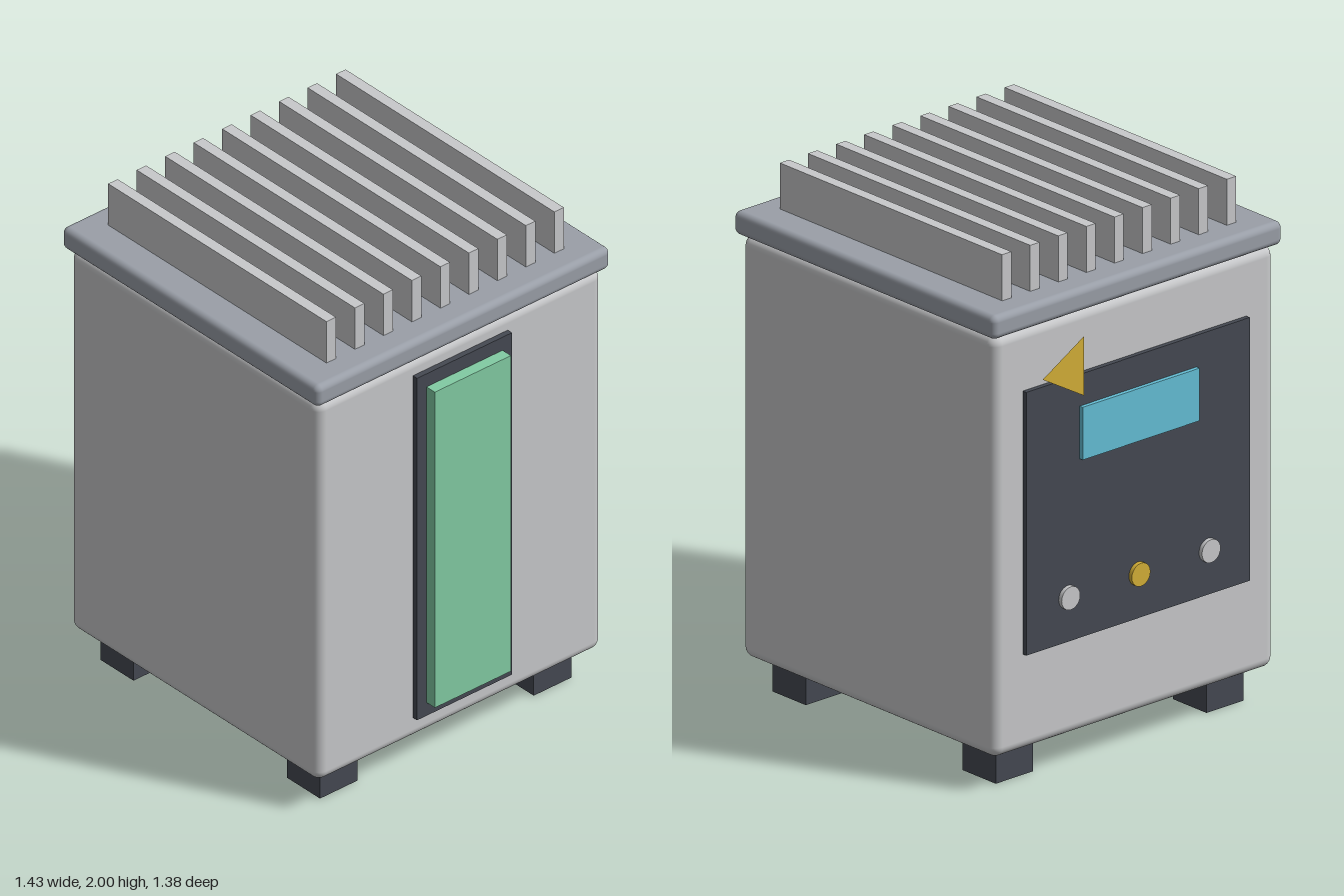
import * as THREE from 'three';
import { RoundedBoxGeometry } from 'three/addons/geometries/RoundedBoxGeometry.js';

const material = (name, color) => {
  const m = new THREE.MeshStandardMaterial({ color });
  m.name = name;
  return m;
};

export function createModel() {
  const casing = material('light grey', 0xc8c9cb);
  const lidGrey = material('blue grey', 0x9a9fa8);
  const dark = material('charcoal', 0x454952);
  const green = material('green glass', 0x82cba3);
  const cyan = material('cyan screen', 0x65bfd6);
  const gold = material('gold', 0xd4af37);

  const model = new THREE.Group();
  model.name = 'machine';
  const cx = -0.019; // body axis, offset because the window stands prouder than the panel

  const add = (name, geometry, mat, x, y, z) => {
    const mesh = new THREE.Mesh(geometry, mat);
    mesh.name = name;
    mesh.position.set(x, y, z);
    model.add(mesh);
    return mesh;
  };
  // Box given by its lower and upper corners
  const box = (name, mat, [x0, y0, z0], [x1, y1, z1]) =>
    add(name, new THREE.BoxGeometry(x1 - x0, y1 - y0, z1 - z0), mat,
      (x0 + x1) / 2, (y0 + y1) / 2, (z0 + z1) / 2);

  // Rounded body and lid
  add('body', new RoundedBoxGeometry(1.333, 1.603, 1.333, 5, 0.04), casing, cx, 0.9335, 0);
  add('lid', new RoundedBoxGeometry(1.375, 0.09, 1.375, 4, 0.025), lidGrey, cx, 1.78, 0);

  // Cooling fins running across the lid
  for (let i = -4; i <= 4; i++) {
    add('coolingFin', new THREE.BoxGeometry(1.17, 0.18, 0.044), casing, cx, 1.91, i * 0.1333);
  }

  // Feet
  for (const sx of [-1, 1]) {
    for (const sz of [-1, 1]) {
      add('foot', new THREE.BoxGeometry(0.176, 0.133, 0.176), dark, cx + sx * 0.5, 0.0665, sz * 0.5);
    }
  }

  // Tall window on the left side
  box('windowFrame', dark, [0.63, 0.222, -0.222], [0.67, 1.667, 0.222]);
  box('windowPane', green, [0.66, 0.278, -0.178], [0.715, 1.612, 0.178]);

  // Control panel on the right side
  box('controlPanel', dark, [-0.704, 0.5, -0.53], [-0.67, 1.5, 0.53]);
  box('screen', cyan, [-0.72, 1.18, -0.277], [-0.7, 1.38, 0.277]);

  // Row of round buttons
  for (const i of [-1, 0, 1]) {
    const button = add('button', new THREE.CylinderGeometry(0.044, 0.044, 0.022, 24),
      i === 0 ? gold : casing, -0.709, 0.67, i * 0.333);
    button.rotation.z = Math.PI / 2;
  }

  // Three-sided warning marker: shallow pyramid, base outwards, one corner to the back
  const markerGeometry = new THREE.ConeGeometry(0.13, 0.022, 3).toNonIndexed();
  markerGeometry.computeVertexNormals();
  markerGeometry.rotateY(Math.PI);
  markerGeometry.rotateZ(-Math.PI / 2);
  add('warningMarker', markerGeometry, gold, -0.707, 1.535, -0.335);

  return model;
}
